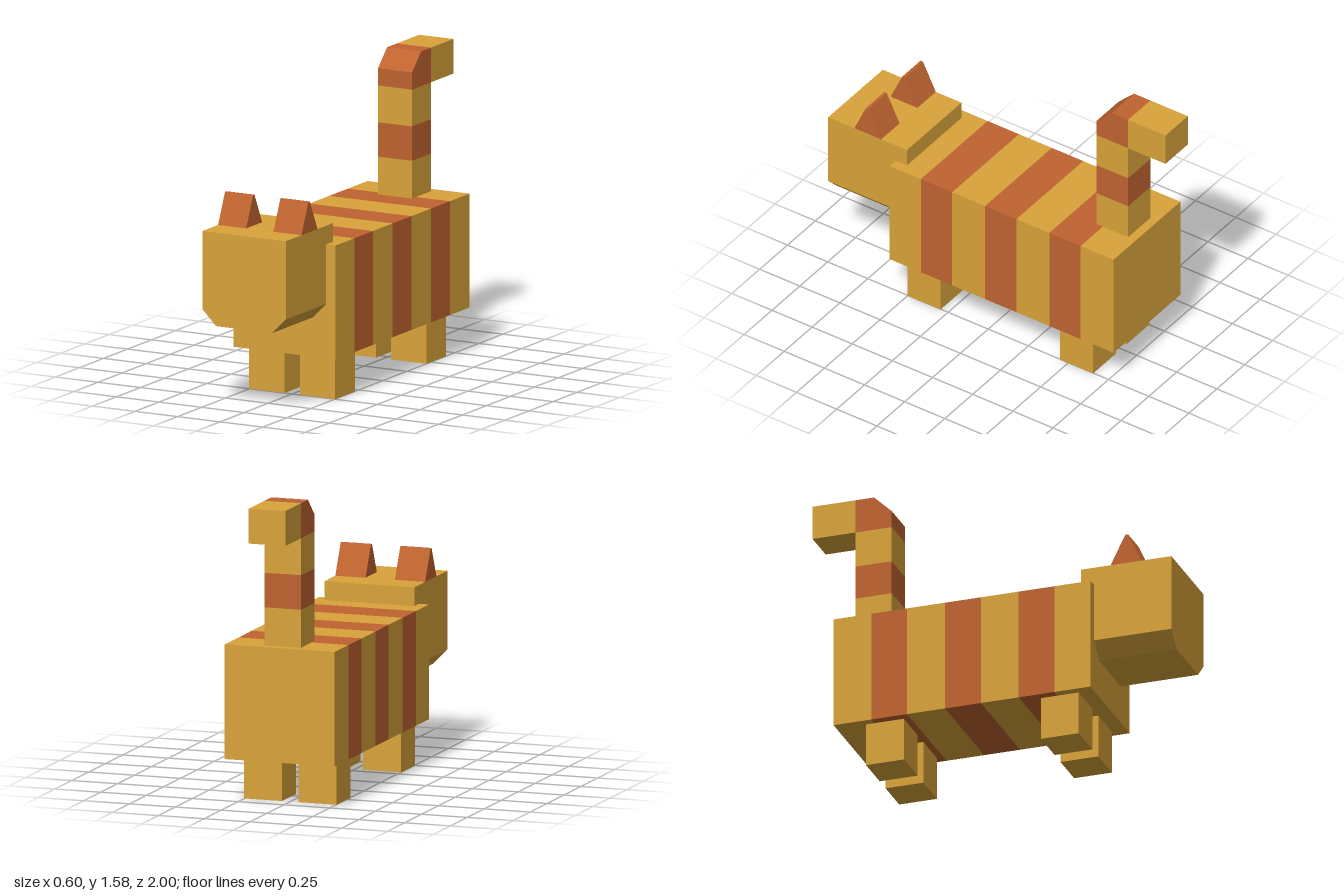
import * as THREE from 'three';

export function createModel() {
  const cat = new THREE.Group();
  cat.name = 'cat';

  const fur = new THREE.MeshStandardMaterial({ color: 0xd9a33a });
  fur.name = 'golden fur';
  const stripe = new THREE.MeshStandardMaterial({ color: 0xc06330 });
  stripe.name = 'rust stripe';

  const add = (name, geometry, material, parent = cat) => {
    const mesh = new THREE.Mesh(geometry, material);
    mesh.name = name;
    parent.add(mesh);
    return mesh;
  };

  // Box given by its limits on each axis
  const box = (x0, x1, y0, y1, z0, z1) =>
    new THREE.BoxGeometry(x1 - x0, y1 - y0, z1 - z0)
      .translate((x0 + x1) / 2, (y0 + y1) / 2, (z0 + z1) / 2);

  const extrude = (points, depth) =>
    new THREE.ExtrudeGeometry(
      new THREE.Shape(points.map(([a, b]) => new THREE.Vector2(a, b))),
      { depth, bevelEnabled: false });

  // Side profile of (z, y) points, extruded across x
  const sideProfile = (points, x0, x1) =>
    extrude(points, x1 - x0).rotateY(-Math.PI / 2).translate(x1, 0, 0);

  // Body: seven bands from chest to rump
  const body = new THREE.Group();
  body.name = 'body';
  cat.add(body);
  const cuts = [0.58, 0.385, 0.19, -0.015, -0.21, -0.415, -0.61, -0.815];
  for (let i = 0; i < 7; i++) {
    const odd = i % 2 === 1;
    add(odd ? 'bodyStripe' : 'bodyBand',
      box(-0.3, 0.3, 0.23, 0.827, cuts[i + 1], cuts[i]), odd ? stripe : fur, body);
  }

  // Head with bevelled jaw edges
  add('head', extrude([
    [-0.165, 0.435], [0.165, 0.435], [0.245, 0.515],
    [0.245, 0.925], [-0.245, 0.925], [-0.245, 0.515],
  ], 0.49).translate(0, 0, 0.51), fur);

  // Ears and legs, mirrored
  const ear = [[0.67, 0.925], [0.837, 0.925], [0.765, 1.085], [0.75, 1.085]];
  for (const side of [1, -1]) {
    const label = side > 0 ? 'left' : 'right';
    const span = (a, b) => (side > 0 ? [a, b] : [-b, -a]);
    add(label + 'Ear', sideProfile(ear, ...span(0.08, 0.245)), stripe);
    add(label + 'FrontLeg', box(...span(0.045, 0.253), 0, 0.23, 0.295, 0.5), fur);
    add(label + 'HindLeg', box(...span(0.045, 0.253), 0, 0.23, -0.655, -0.45), fur);
  }

  // Tail: upright bands, bevelled bend and a tip pointing back
  const tail = new THREE.Group();
  tail.name = 'tail';
  cat.add(tail);
  const levels = [0.827, 1.025, 1.205, 1.398];
  for (let i = 0; i < 3; i++) {
    const odd = i === 1;
    add(odd ? 'tailStripe' : 'tailBand',
      box(-0.1, 0.1, levels[i], levels[i + 1], -0.767, -0.57), odd ? stripe : fur, tail);
  }
  add('tailBend', sideProfile([
    [-0.767, 1.398], [-0.57, 1.398], [-0.57, 1.488], [-0.665, 1.58], [-0.767, 1.58],
  ], -0.1, 0.1), stripe, tail);
  add('tailTip', box(-0.1, 0.1, 1.398, 1.58, -1, -0.767), fur, tail);

  return cat;
}
